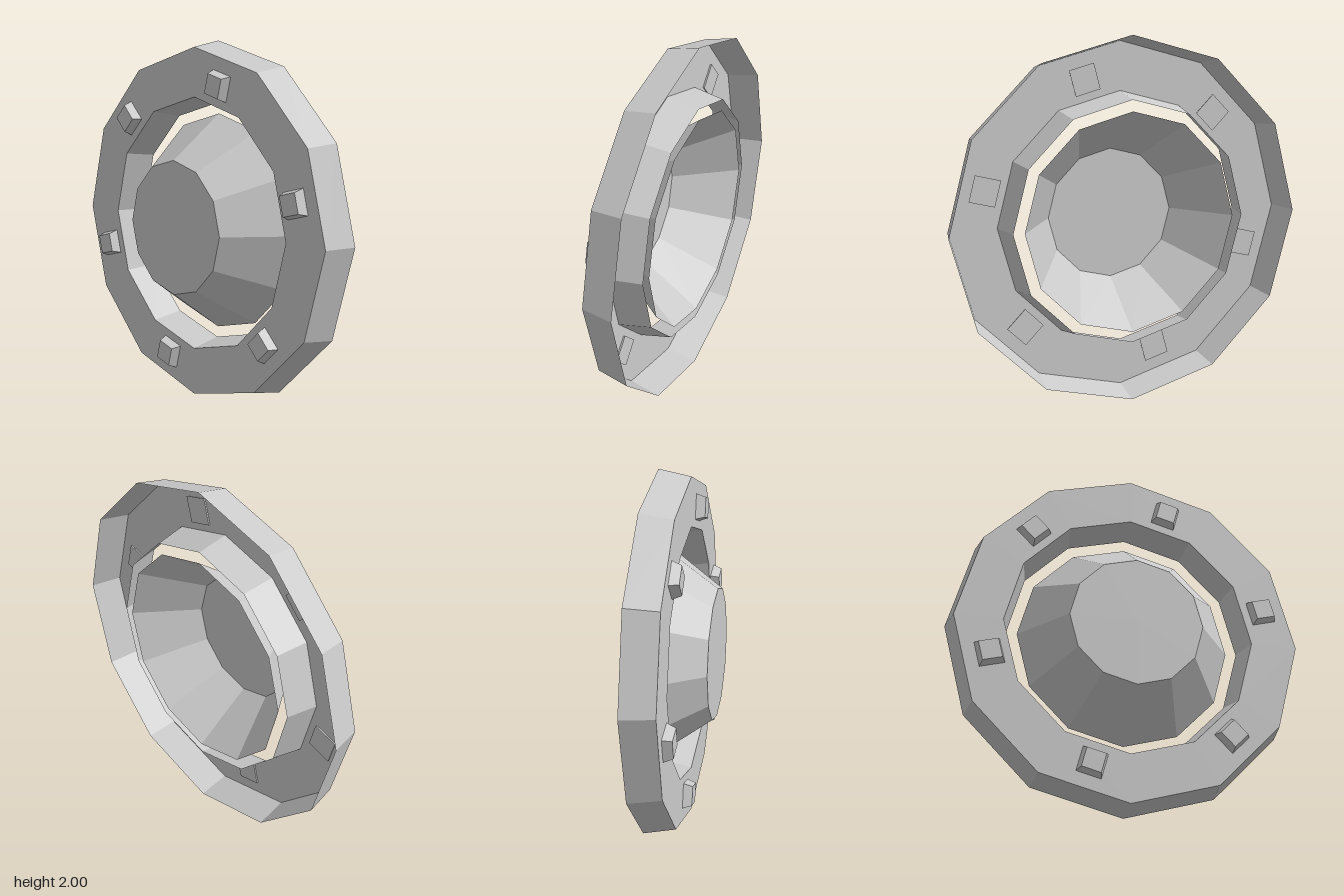
import * as THREE from 'three';

const material = new THREE.MeshStandardMaterial({
  color: 0xcccccc, flatShading: true, side: THREE.DoubleSide,
});

// Twelve-sided shell from [radius, height along the axis] points
function shell(name, points) {
  const profile = points.map(([r, h]) => new THREE.Vector2(r, h));
  const mesh = new THREE.Mesh(new THREE.LatheGeometry(profile, 12), material);
  mesh.name = name;
  return mesh;
}

export function createModel() {
  const model = new THREE.Group();
  model.name = 'roundLampHousing';

  // Everything is built around a vertical axis, then tipped so that axis is x
  const body = new THREE.Group();
  body.name = 'body';
  body.rotation.z = -Math.PI / 2;
  body.position.y = 1;
  model.add(body);

  // Open channel ring: flared inner wall, flat back plate, flared outer wall
  body.add(shell('channelRing', [[0.665, 0.155], [0.7, -0.02], [0.965, -0.02], [1, 0.155]]));

  // Bowl with a flat closed floor, open towards +x
  body.add(shell('bowl', [[0, -0.165], [0.368, -0.165], [0.605, 0.16]]));

  // Six tapered square studs through the back plate
  const studGeometry = new THREE.CylinderGeometry(0.102, 0.076, 0.06, 4);
  for (let i = 0; i < 6; i++) {
    const a = THREE.MathUtils.degToRad(15 + i * 60);
    const stud = new THREE.Mesh(studGeometry, material);
    stud.name = `stud${i + 1}`;
    stud.position.set(-0.79 * Math.cos(a), -0.04, 0.79 * Math.sin(a));
    stud.rotation.y = a + Math.PI / 4;
    body.add(stud);
  }
  return model;
}
